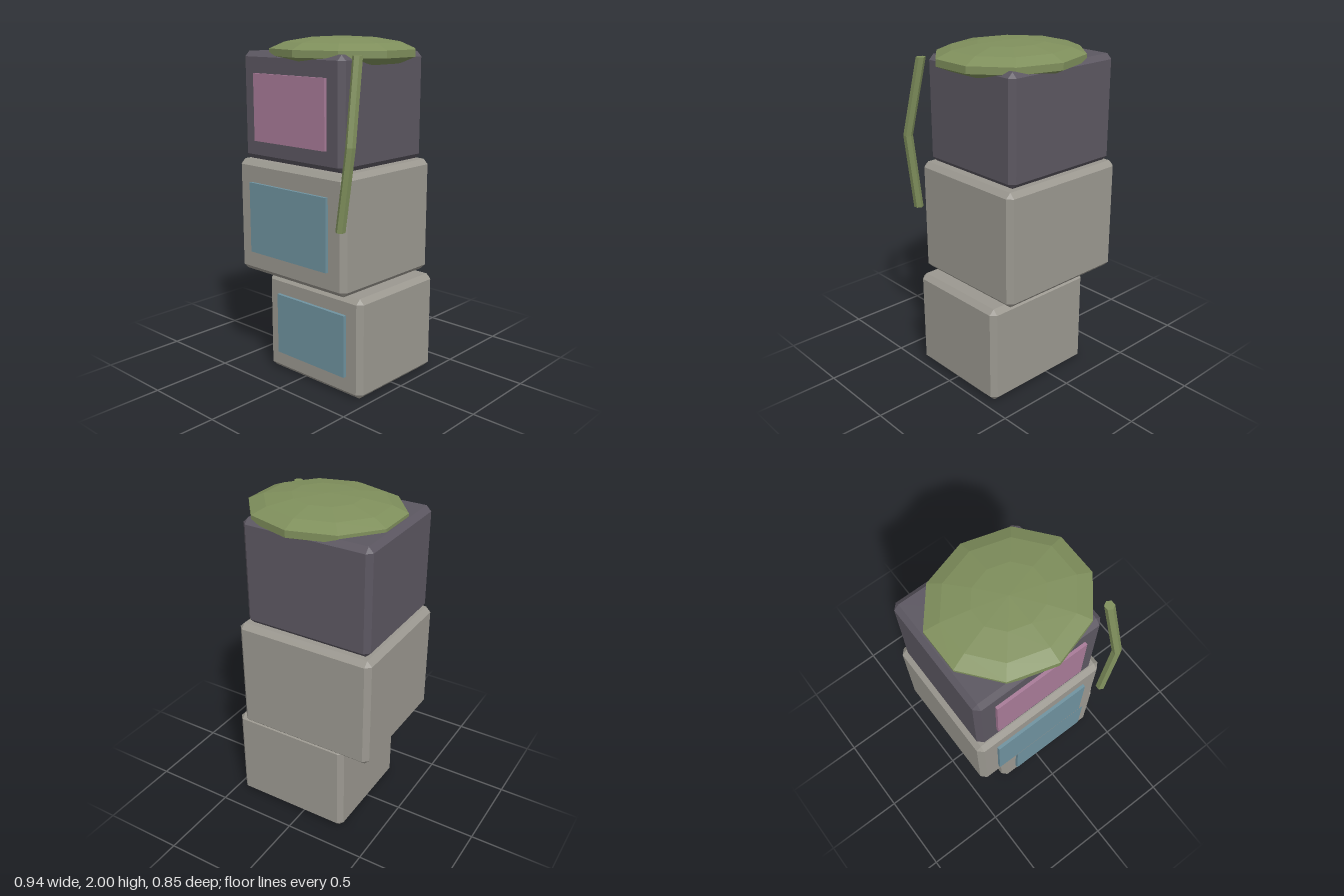
import * as THREE from 'three';
import { ConvexGeometry } from 'three/addons/geometries/ConvexGeometry.js';

const paint = (color) => new THREE.MeshStandardMaterial({ color, flatShading: true });
const casing = paint(0x9b9890);
const darkCasing = paint(0x5c5761);
const glass = paint(0x6f929f);
const pinkGlass = paint(0xa87b98);
const moss = paint(0x7f8f5c);

function part(name, geometry, material) {
  const mesh = new THREE.Mesh(geometry, material);
  mesh.name = name;
  return mesh;
}

// Box with every edge and corner cut flat by c
function chamferBox([x0, x1], [y0, y1], [z0, z1], c) {
  const half = new THREE.Vector3(x1 - x0, y1 - y0, z1 - z0).multiplyScalar(0.5);
  const points = [];
  for (const sx of [-1, 1]) for (const sy of [-1, 1]) for (const sz of [-1, 1]) {
    for (let axis = 0; axis < 3; axis++) {
      const p = half.clone().subScalar(c);
      p.setComponent(axis, half.getComponent(axis));
      points.push(p.multiply(new THREE.Vector3(sx, sy, sz)));
    }
  }
  return new ConvexGeometry(points).translate((x0 + x1) / 2, (y0 + y1) / 2, (z0 + z1) / 2);
}

// Thin panel standing proud of a front face
function panel([x0, x1], [y0, y1], front) {
  const depth = 0.04;
  return new THREE.BoxGeometry(x1 - x0, y1 - y0, depth)
    .translate((x0 + x1) / 2, (y0 + y1) / 2, front - depth / 2);
}

export function createModel() {
  const group = new THREE.Group();
  group.name = 'overgrownMonitorStack';

  // Three stacked monitors, each a casing with a screen
  const monitors = [
    { name: 'bottom', x: [-0.285, 0.455], y: [0, 0.597], z: [-0.355, 0.315], body: casing,
      sx: [-0.185, 0.35], sy: [0.12, 0.49], front: 0.335, screen: glass },
    { name: 'middle', x: [-0.477, 0.375], y: [0.6, 1.283], z: [-0.405, 0.362], body: casing,
      sx: [-0.36, 0.257], sy: [0.73, 1.155], front: 0.38, screen: glass },
    { name: 'top', x: [-0.452, 0.332], y: [1.286, 1.912], z: [-0.375, 0.332], body: darkCasing,
      sx: [-0.34, 0.222], sy: [1.40, 1.79], front: 0.35, screen: pinkGlass },
  ];
  for (const m of monitors) {
    group.add(part(m.name + 'Casing', chamferBox(m.x, m.y, m.z, 0.03), m.body));
    group.add(part(m.name + 'Screen', panel(m.sx, m.sy, m.front), m.screen));
  }

  // Flattened moss cushion on top
  const cushion = new THREE.SphereGeometry(1, 10, 7).rotateY(Math.PI / 2)
    .scale(0.461, 0.09, 0.413).translate(0.014, 1.91, -0.022);
  group.add(part('mossCushion', cushion, moss));

  // Hanging vine: a six-sided rod whose three rings follow a bent path
  const path = [[0.40, 1.91, 0.287], [0.441, 1.45, 0.385], [0.381, 0.99, 0.396]];
  const vine = new THREE.CylinderGeometry(0.028, 0.028, 2, 6, 2);
  const pos = vine.attributes.position;
  for (let i = 0; i < pos.count; i++) {
    const [x, y, z] = path[1 - Math.round(pos.getY(i))];
    pos.setXYZ(i, pos.getX(i) + x, y, pos.getZ(i) + z);
  }
  vine.computeVertexNormals();
  group.add(part('hangingVine', vine, moss));

  return group;
}
